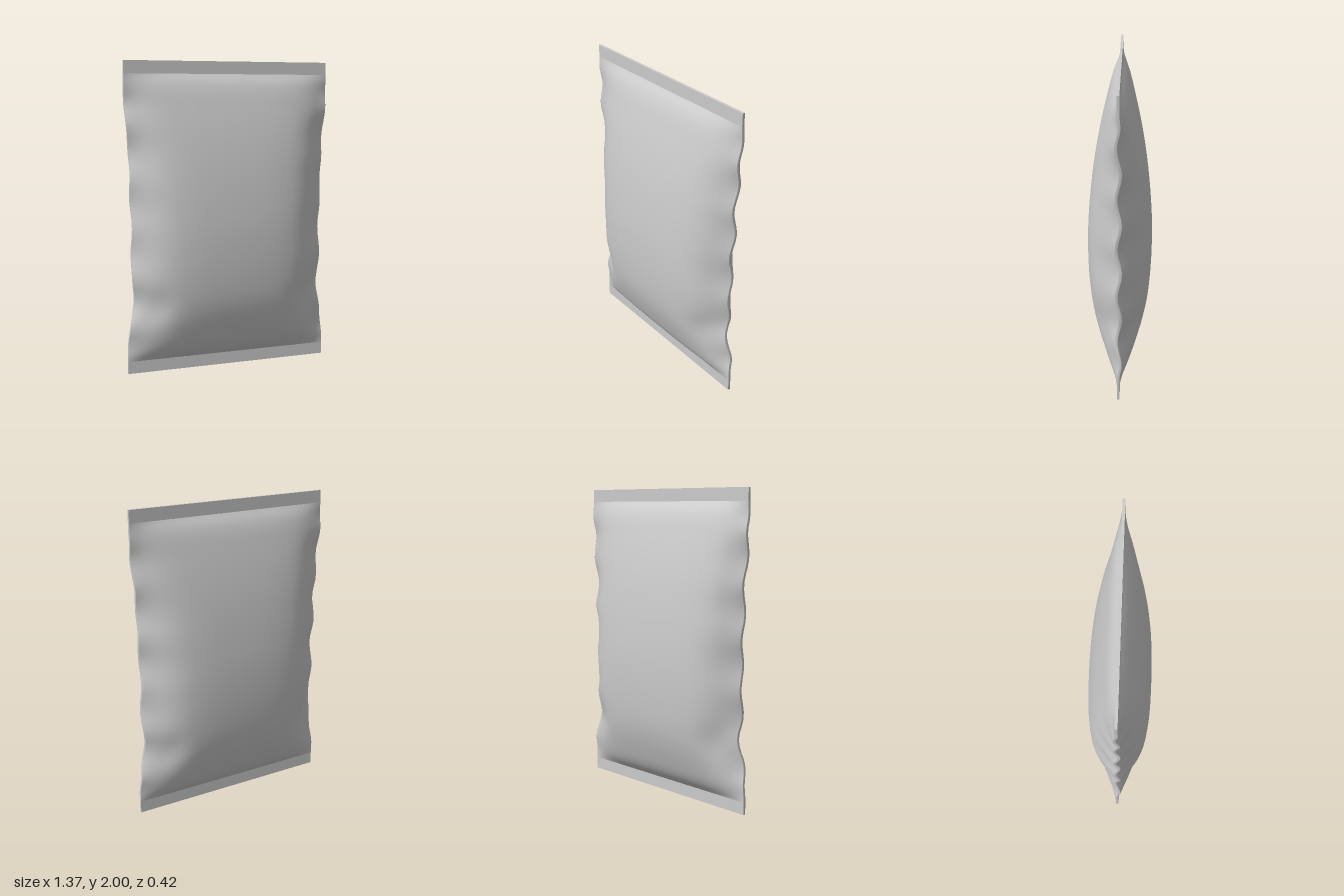
import * as THREE from 'three';

const SEAL = 0.008, LOW = 0.08, HIGH = 1.92, ROWS = 56, COLS = 36;

// Smooth curve through [position, value] pairs
function profile(points) {
  const f = new THREE.CubicInterpolant(points.map(p => p[0]), points.map(p => p[1]), 1);
  return t => f.evaluate(t)[0];
}

const depthAt = profile([[0.08, 0.008], [0.14, 0.062], [0.28, 0.127], [0.45, 0.178], [0.62, 0.2],
  [0.86, 0.209], [1.05, 0.202], [1.4, 0.162], [1.7, 0.098], [1.86, 0.047], [1.92, 0.008]]);
const widthAt = profile([[0.08, 0.685], [0.16, 0.683], [0.3, 0.67], [0.48, 0.637], [0.6, 0.65], [0.8, 0.652],
  [1, 0.647], [1.2, 0.66], [1.3, 0.655], [1.45, 0.662], [1.58, 0.673], [1.85, 0.687], [1.92, 0.685]]);
const bulgeAt = profile([[0, 1], [0.25, 0.985], [0.48, 0.93], [0.67, 0.8], [0.8, 0.58], [0.91, 0.27], [1, 0]]);

// Point on the film: u runs across (-1..1), side is +1 front or -1 back
function filmPoint(u, y, side) {
  const a = Math.abs(u), x = u * widthAt(y);
  const ends = THREE.MathUtils.smoothstep(Math.min(y - LOW, HIGH - y), 0, 0.2);
  // crumpled lower corners
  const dent = 1 - 0.2 * Math.exp(-(((a - 0.82) / 0.13) ** 2) - ((y - 0.42) / 0.12) ** 2);
  // wavy side seams
  const wave = 0.014 * ends * Math.sin(y * 19.5 + (u > 0 ? 0 : 2)) * a ** 8;
  const z = SEAL + Math.max(0, depthAt(y) - SEAL) * bulgeAt(a) * dent;
  return [x, y, side * z + wave];
}

// Film pouch skinned through closed cross-sections
function pouchGeometry() {
  const pos = [], idx = [], n = 2 * (COLS + 1);
  for (let r = 0; r <= ROWS; r++) {
    const y = LOW + (HIGH - LOW) * (0.5 - 0.5 * Math.cos(Math.PI * r / ROWS));
    for (const side of [1, -1]) {
      for (let c = 0; c <= COLS; c++) {
        pos.push(...filmPoint(side * Math.sin(Math.PI * (c / COLS - 0.5)), y, side));
      }
    }
  }
  for (let r = 0; r < ROWS; r++) {
    for (let c = 0; c < n; c++) {
      const a = r * n + c, b = r * n + (c + 1) % n;
      idx.push(a, b, b + n, a, b + n, a + n);
    }
  }
  const geo = new THREE.BufferGeometry();
  geo.setAttribute('position', new THREE.Float32BufferAttribute(pos, 3));
  geo.setIndex(idx);
  geo.computeVertexNormals();
  return geo;
}

export function createModel() {
  const group = new THREE.Group();
  group.name = 'pillowBag';
  const material = new THREE.MeshStandardMaterial({ color: 0xcccccc });

  const pouch = new THREE.Mesh(pouchGeometry(), material);
  pouch.name = 'pouch';
  group.add(pouch);

  // Flat pressed seals at both ends
  for (const [name, y] of [['bottomSeal', LOW / 2], ['topSeal', (HIGH + 2) / 2]]) {
    const seal = new THREE.Mesh(new THREE.BoxGeometry(1.37, LOW, SEAL * 2), material);
    seal.name = name;
    seal.position.y = y;
    group.add(seal);
  }
  return group;
}
